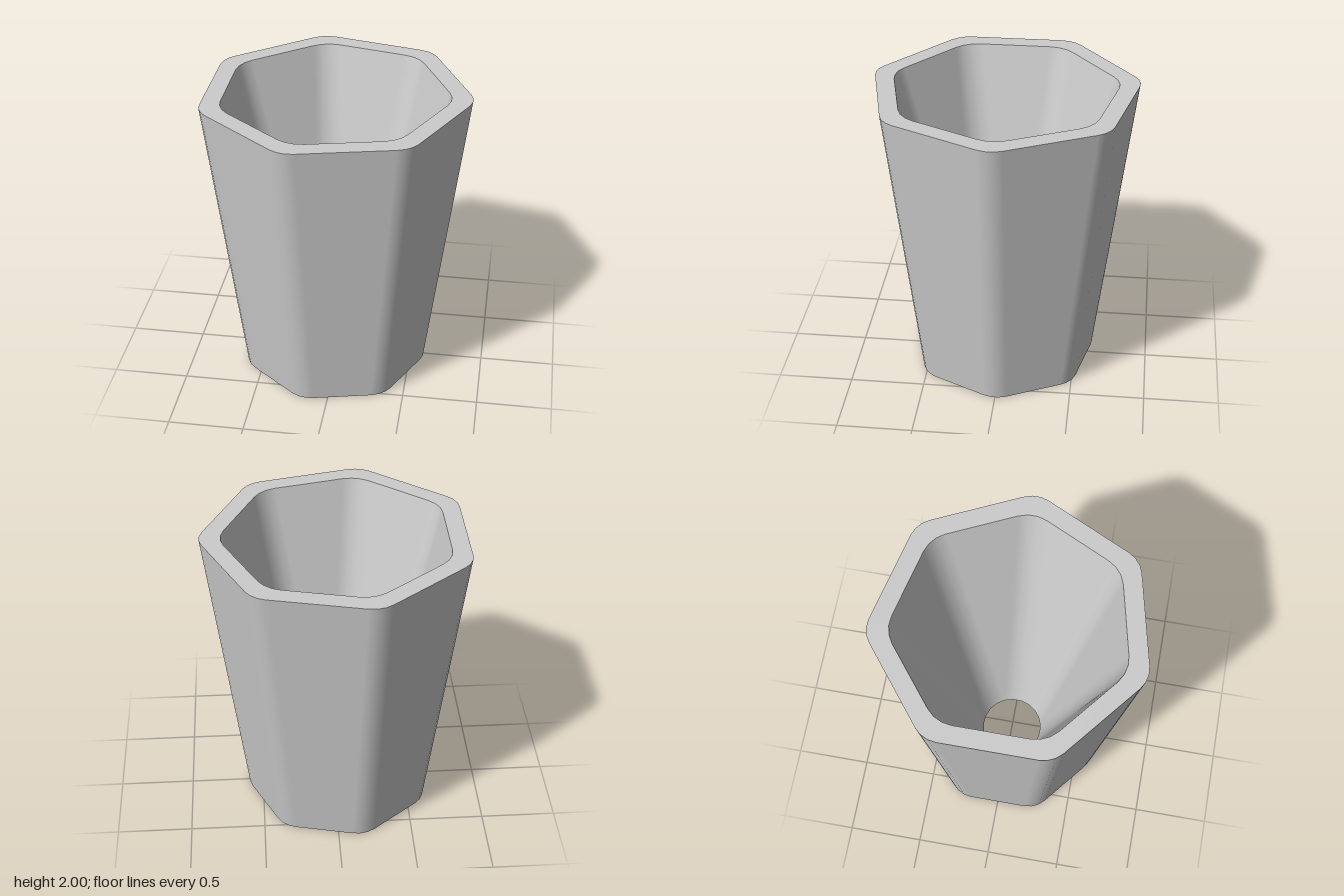
import * as THREE from 'three';

const SIDES = 7, CORNER_STEPS = 3, CENTRE_X = -0.035;

// Heptagon outline with rounded corners: a list of { p: point, a: facing angle }
function roundedRing(apothem, round, y) {
  const half = Math.PI / SIDES;
  const reach = (apothem - round) / Math.cos(half); // distance to the corner arc centres
  const ring = [];
  for (let i = 0; i < SIDES; i++) {
    const mid = i * 2 * half;
    for (let j = 0; j <= CORNER_STEPS; j++) {
      const a = mid - half + (2 * half * j) / CORNER_STEPS;
      ring.push({
        a,
        p: new THREE.Vector3(
          CENTRE_X + reach * Math.cos(mid) + round * Math.cos(a), y,
          reach * Math.sin(mid) + round * Math.sin(a)),
      });
    }
  }
  return ring;
}

// Surface between two rings, smooth around and sharp at both ends
function loft(name, from, to, material) {
  const pos = [], nor = [], index = [], n = from.length;
  for (let i = 0; i < n; i++) {
    const { a, p } = from[i], q = to[i].p;
    const tangent = new THREE.Vector3(-Math.sin(a), 0, Math.cos(a));
    const normal = q.clone().sub(p).cross(tangent).normalize();
    pos.push(...p.toArray(), ...q.toArray());
    nor.push(...normal.toArray(), ...normal.toArray());
    const k = 2 * i, m = 2 * ((i + 1) % n);
    index.push(k, k + 1, m, m, k + 1, m + 1);
  }
  const geometry = new THREE.BufferGeometry();
  geometry.setAttribute('position', new THREE.Float32BufferAttribute(pos, 3));
  geometry.setAttribute('normal', new THREE.Float32BufferAttribute(nor, 3));
  geometry.setIndex(index);
  const mesh = new THREE.Mesh(geometry, material);
  mesh.name = name;
  return mesh;
}

export function createModel() {
  const group = new THREE.Group();
  group.name = 'planter';
  const material = new THREE.MeshStandardMaterial({ color: 0xcccccc });

  const outerBottom = roundedRing(0.585, 0.18, 0);
  const outerTop = roundedRing(0.815, 0.18, 2);
  const innerTop = roundedRing(0.695, 0.21, 2);
  const drain = roundedRing(0.21, 0.21, 0); // corners merge into a round hole

  group.add(
    loft('outerWall', outerBottom, outerTop, material),
    loft('rim', outerTop, innerTop, material),
    loft('innerFunnel', innerTop, drain, material),
    loft('base', drain, outerBottom, material),
  );
  return group;
}
